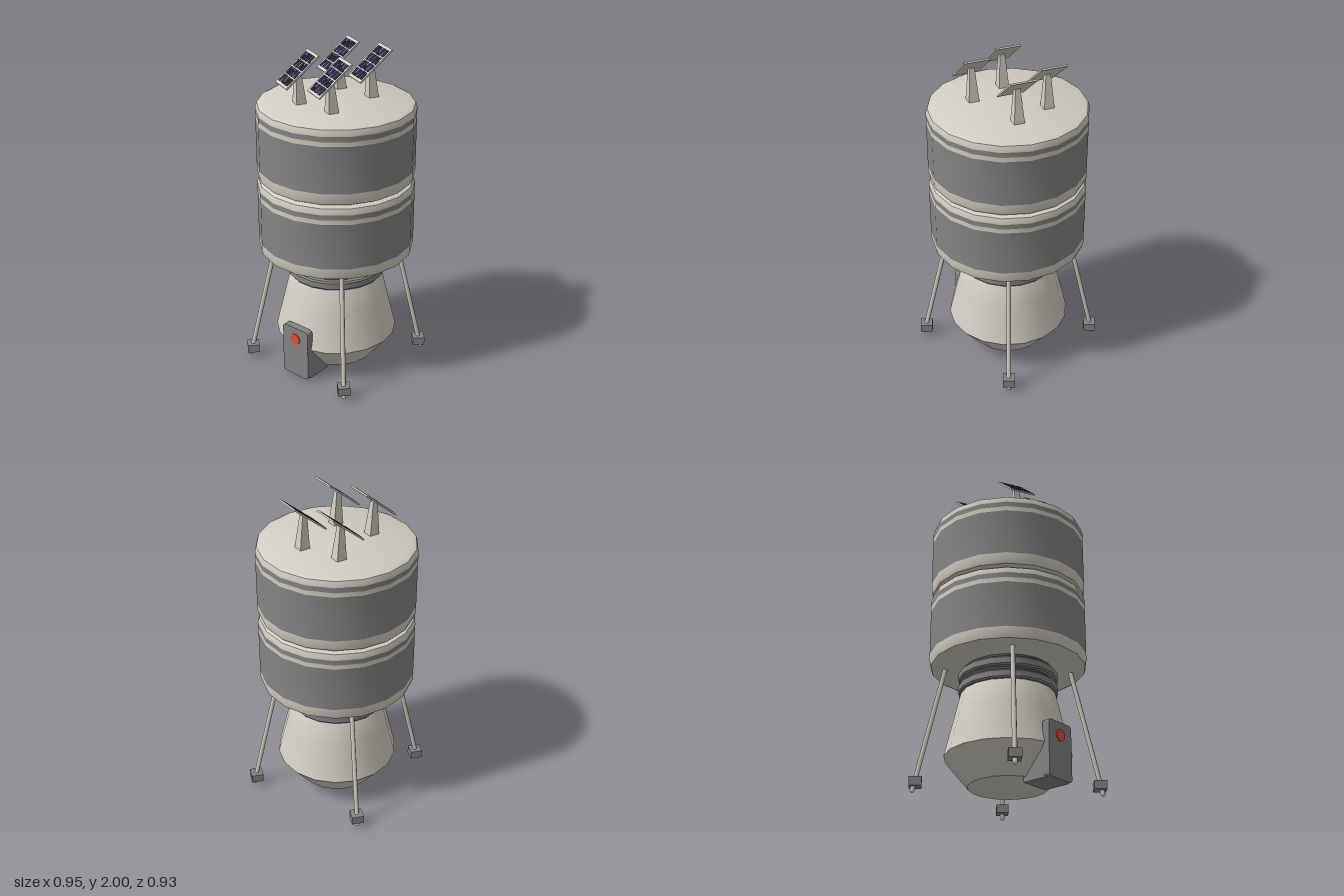
import * as THREE from 'three';
import { toCreasedNormals } from 'three/addons/utils/BufferGeometryUtils.js';

const material = (color) => new THREE.MeshStandardMaterial({ color });
const CREAM = material(0xd2cec3), GREY = material(0x858585), DARK = material(0x5c5c5c);
const NAVY = material(0x25253c), RED = material(0xe0503f);

function add(parent, name, geometry, mat, x = 0, y = 0, z = 0) {
  const mesh = new THREE.Mesh(geometry, mat);
  mesh.name = name;
  mesh.position.set(x, y, z);
  parent.add(mesh);
  return mesh;
}

// 18-sided turned part; profile runs from bottom to top as [radius, y]
function turned(parent, name, profile, mat) {
  const g = new THREE.LatheGeometry(profile.map(([r, y]) => new THREE.Vector2(r, y)), 18);
  g.rotateY(Math.PI / 2);
  return add(parent, name, toCreasedNormals(g, 0.5), mat);
}

// Round tank with coloured bands
function tank(name, y) {
  const g = new THREE.Group(), R = 0.473, top = 0.472;
  g.name = name;
  g.position.y = y;
  turned(g, 'tankBase', [[0, 0], [0.44, 0], [0.464, 0.012], [R, 0.038], [R, 0.08]], CREAM);
  turned(g, 'tankWall', [[R, 0.08], [R, 0.364]], GREY);
  turned(g, 'tankTrim', [[R, 0.364], [R, 0.392]], CREAM);
  turned(g, 'tankStripe', [[R, 0.392], [R, 0.423]], GREY);
  turned(g, 'tankTop', [[R, 0.423], [R, top - 0.038], [0.464, top - 0.012], [0.44, top], [0, top]], CREAM);
  return g;
}

// Strut with a square foot block, leaning outwards
function leg(sx, sz) {
  const g = new THREE.Group();
  g.name = 'leg';
  const a = new THREE.Vector3(sx * 0.265, 0.77, sz * 0.265);
  const b = new THREE.Vector3(sx * 0.386, 0.015, sz * 0.386);
  add(g, 'strut', new THREE.TubeGeometry(new THREE.LineCurve3(a, b), 1, 0.014, 8), CREAM);
  const cap = add(g, 'strutEnd', new THREE.SphereGeometry(0.014, 8, 6), CREAM);
  cap.position.copy(b);
  const foot = add(g, 'footBlock', new THREE.BoxGeometry(0.074, 0.052, 0.074), GREY, sx * 0.375, 0.062, sz * 0.375);
  foot.rotation.y = Math.PI / 4;
  return g;
}

// Tapered post carrying a tilted panel of 4 x 4 cells
function solarPanel(x, z) {
  const g = new THREE.Group();
  g.name = 'solarPanel';
  g.position.set(x, 0, z);
  g.rotation.y = -0.426;

  const post = new THREE.BoxGeometry(1, 0.21, 1);
  const p = post.attributes.position;
  for (let i = 0; i < p.count; i++) {
    const up = p.getY(i) > 0, s = up ? 0.03 : 0.064;
    p.setXYZ(i, p.getX(i) * s, p.getY(i), p.getZ(i) * s - (up ? 0 : 0.012));
  }
  post.computeVertexNormals();
  add(g, 'post', post, CREAM, 0, 1.805, 0);

  const panel = new THREE.Group();
  panel.name = 'panel';
  panel.position.y = 1.911;
  panel.rotation.x = 0.698;
  g.add(panel);
  add(panel, 'panelFrame', new THREE.BoxGeometry(0.157, 0.01, 0.265), CREAM);
  for (let i = 0; i < 4; i++)
    for (let j = 0; j < 4; j++)
      add(panel, 'cell', new THREE.BoxGeometry(0.029, 0.003, 0.053), NAVY,
        (i - 1.5) * 0.0345, 0.005, (j - 1.5) * 0.0595);
  return g;
}

// Upright plate with rounded corners, a wedge behind it and a red light
function hatch() {
  const g = new THREE.Group();
  g.name = 'hatch';
  const w = 0.1, y0 = 0.01, y1 = 0.345, r = 0.022;
  const s = new THREE.Shape();
  s.absarc(w - r, y1 - r, r, 0, Math.PI / 2);
  s.absarc(-w + r, y1 - r, r, Math.PI / 2, Math.PI);
  s.absarc(-w + r, y0 + r, r, Math.PI, Math.PI * 1.5);
  s.absarc(w - r, y0 + r, r, Math.PI * 1.5, Math.PI * 2);
  const plate = new THREE.ExtrudeGeometry(s, { depth: 0.045, bevelEnabled: false, curveSegments: 4 });
  add(g, 'hatchPlate', plate, GREY, 0, 0, 0.342);

  const side = new THREE.Shape([[0.36, 0.01], [0.36, 0.21], [0.342, 0.2], [0.195, 0.035], [0.195, 0.01]]
    .map(([z, y]) => new THREE.Vector2(-z, y)));
  const wedge = new THREE.ExtrudeGeometry(side, { depth: 0.19, bevelEnabled: false });
  wedge.rotateY(Math.PI / 2);
  add(g, 'hatchWedge', wedge, GREY, -0.095, 0, 0);

  const light = add(g, 'hatchLight', new THREE.CylinderGeometry(0.037, 0.037, 0.008, 16), RED, 0, 0.267, 0.388);
  light.rotation.x = Math.PI / 2;
  return g;
}

export function createModel() {
  const model = new THREE.Group();
  model.name = 'landerStation';

  // Tanks and the neck between them
  model.add(tank('lowerTank', 0.762), tank('upperTank', 1.236));
  turned(model, 'tankJoint', [[0.43, 1.22], [0.43, 1.25]], DARK);

  // Bell-shaped lower body and ringed collar
  turned(model, 'lowerBody', [[0, 0.04], [0.235, 0.04], [0.375, 0.212], [0.352, 0.31],
    [0.318, 0.45], [0.283, 0.6], [0.27, 0.62]], CREAM);
  turned(model, 'collarCore', [[0.268, 0.59], [0.268, 0.77]], DARK);
  for (const y of [0.61, 0.69])
    turned(model, 'collarRing', [[0.265, y - 0.008], [0.29, y - 0.006], [0.298, y + 0.004],
      [0.298, y + 0.04], [0.29, y + 0.05], [0.265, y + 0.052]], GREY);

  for (const sx of [-1, 1]) for (const sz of [-1, 1]) model.add(leg(sx, sz));
  for (const x of [-0.134, 0.11]) for (const z of [-0.177, 0.184]) model.add(solarPanel(x, z));
  model.add(hatch());
  return model;
}
